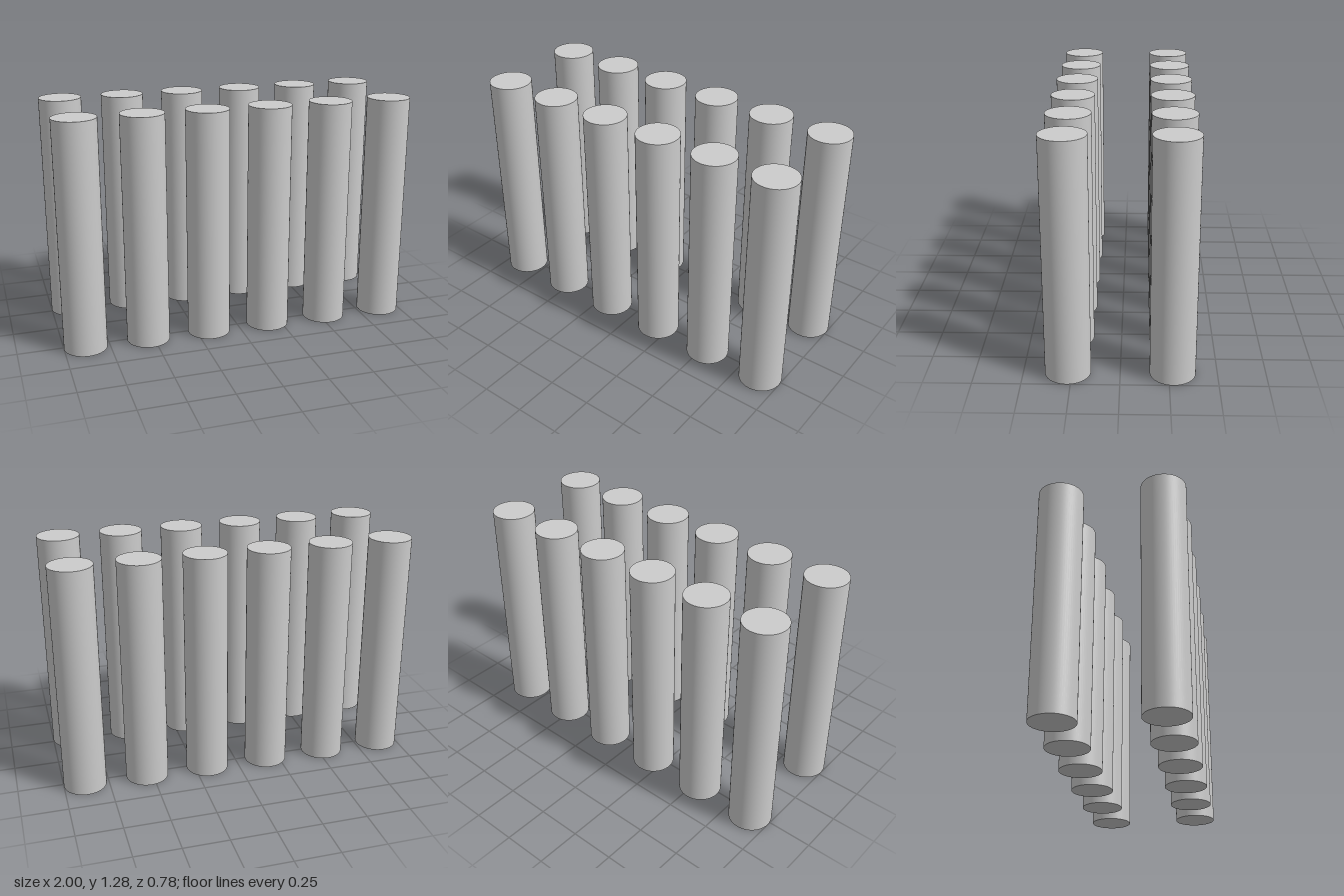
import * as THREE from 'three';

const RADIUS = 0.119;
const HEIGHT = 1.285;
const COLUMNS = 6;
const ROW_Z = 0.27;

export function createModel() {
  const model = new THREE.Group();
  model.name = 'colonnade';
  const material = new THREE.MeshStandardMaterial({ color: 0xcccccc });

  // One smooth round pillar, standing on the ground
  const pillar = new THREE.CylinderGeometry(RADIUS, RADIUS, HEIGHT, 64);
  pillar.translate(0, HEIGHT / 2, 0);

  // Two parallel rows of evenly spaced pillars
  const first = -1 + RADIUS;
  const spacing = (2 - 2 * RADIUS) / (COLUMNS - 1);
  for (const [rowName, z] of [['front', ROW_Z], ['back', -ROW_Z]]) {
    const row = new THREE.Group();
    row.name = `${rowName}Row`;
    for (let i = 0; i < COLUMNS; i++) {
      const mesh = new THREE.Mesh(pillar, material);
      mesh.name = `${rowName}Pillar${i + 1}`;
      mesh.position.set(first + i * spacing, 0, z);
      row.add(mesh);
    }
    model.add(row);
  }
  return model;
}
